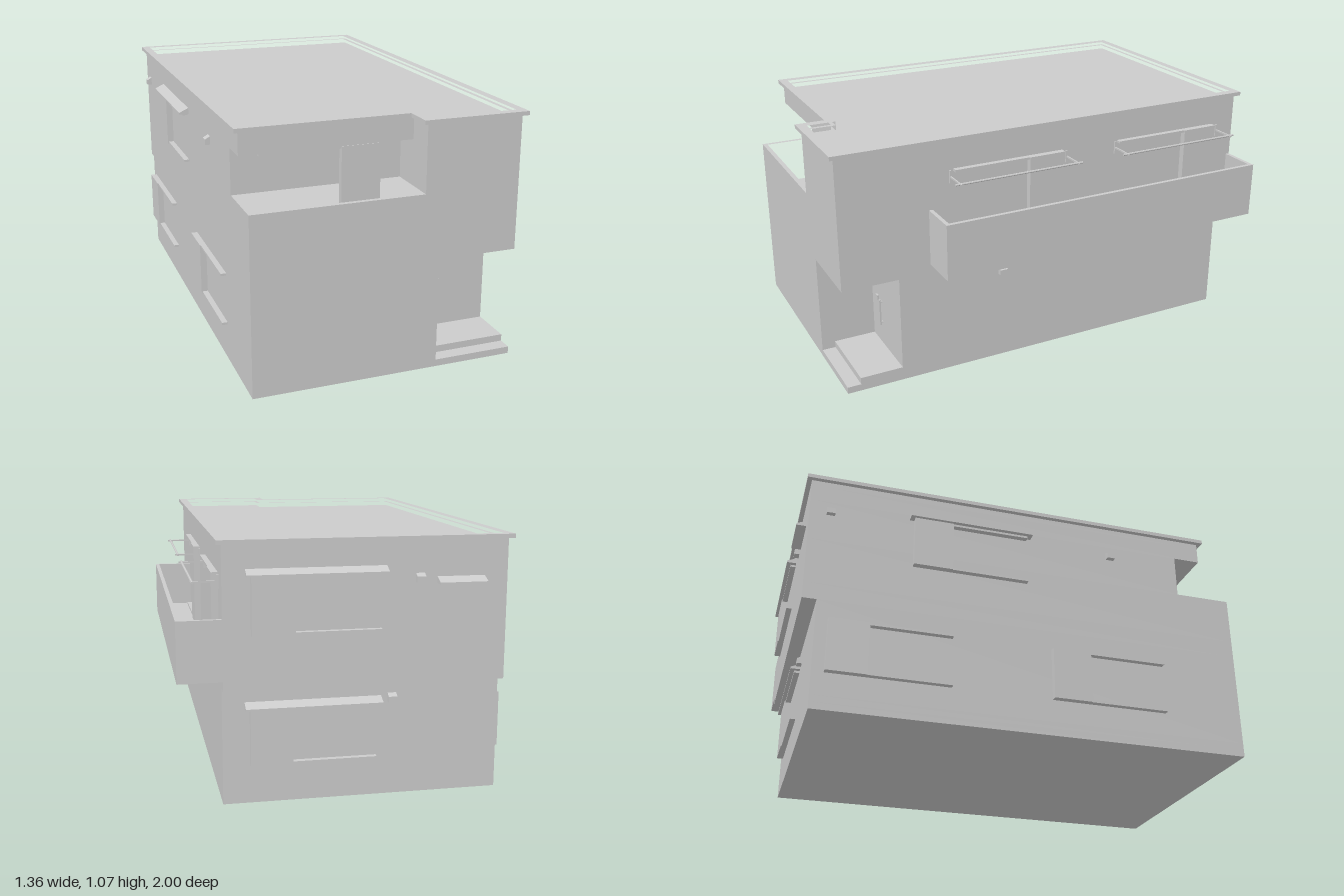
import * as THREE from 'three';

const grey = new THREE.MeshStandardMaterial({ color: 0xcccccc, flatShading: true });

function add(parent, name, geometry, x = 0, y = 0, z = 0) {
  const mesh = new THREE.Mesh(geometry, grey);
  mesh.name = name;
  mesh.position.set(x, y, z);
  parent.add(mesh);
  return mesh;
}

// Box given by its low and high corners
function block(parent, name, [x0, y0, z0], [x1, y1, z1]) {
  return add(parent, name, new THREE.BoxGeometry(x1 - x0, y1 - y0, z1 - z0),
    (x0 + x1) / 2, (y0 + y1) / 2, (z0 + z1) / 2);
}

// Horizontal layer: a floor plan of [x, z] points raised from y0 to y1
function layer(parent, name, plan, y0, y1, hole) {
  const toPoints = (p) => p.map(([x, z]) => new THREE.Vector2(x, -z));
  const shape = new THREE.Shape(toPoints(plan));
  if (hole) shape.holes.push(new THREE.Path(toPoints(hole)));
  const geometry = new THREE.ExtrudeGeometry(shape, { depth: y1 - y0, bevelEnabled: false });
  geometry.rotateX(-Math.PI / 2);
  return add(parent, name, geometry, 0, y0, 0);
}

const rect = (x0, z0, x1, z1) => [[x0, z0], [x1, z0], [x1, z1], [x0, z1]];
// Rectangle with its front right-hand corner (+x, +z) cut away
const cutPlus = (x0, z0, x1, z1, cx, cz) => [[x0, z0], [x1, z0], [x1, cz], [cx, cz], [cx, z1], [x0, z1]];
// Rectangle with its front corner on the -x side cut away
const cutMinus = (x0, z0, x1, z1, cx, cz) => [[x0, z0], [x1, z0], [x1, z1], [cx, z1], [cx, cz], [x0, cz]];

// Sloped hood along a wall (local x along the wall, z outward)
function hood(parent, name, u0, u1, y0, y1, depth, lip) {
  const profile = new THREE.Shape([
    new THREE.Vector2(0, y0), new THREE.Vector2(depth, y0),
    new THREE.Vector2(depth, y0 + lip), new THREE.Vector2(0, y1),
  ]);
  const geometry = new THREE.ExtrudeGeometry(profile, { depth: u1 - u0, bevelEnabled: false });
  geometry.rotateY(-Math.PI / 2);
  return add(parent, name, geometry, u1, 0, 0);
}

const vent = (wall, u, y) => hood(wall, 'vent', u - 0.018, u + 0.018, y - 0.018, y + 0.018, 0.022, 0.024);

// Sliding shutter window: shutter case at one end, thin rails over the rest
function shutterWindow(wall, u0, u1, y0, y1, caseAtHigh, awning) {
  const group = new THREE.Group();
  group.name = 'window';
  wall.add(group);
  const c0 = caseAtHigh ? u1 - 0.17 : u0;
  block(group, 'shutterCase', [c0, y0, 0], [c0 + 0.17, y1, 0.028]);
  const r0 = caseAtHigh ? u0 : c0 + 0.17;
  const r1 = caseAtHigh ? c0 : u1;
  block(group, 'topRail', [r0, y1 - 0.01, 0], [r1, y1, 0.024]);
  block(group, 'bottomRail', [r0, y0, 0], [r1, y0 + 0.01, 0.024]);
  if (awning) hood(group, 'awning', u0 - 0.02, u1 + 0.02, y1, y1 + 0.027, 0.042, 0.008);
}

// Group whose local z points out of a wall
function wallGroup(parent, name, x, z, turn) {
  const group = new THREE.Group();
  group.name = name;
  group.position.set(x, 0, z);
  group.rotation.y = turn;
  parent.add(group);
  return group;
}

export function createModel() {
  const house = new THREE.Group();
  house.name = 'house';
  const L = -0.64, R = 0.5, F = 0.98, B = -0.96, LB = -0.9;

  // Lower storey with a stepped corner porch
  layer(house, 'base', rect(L, LB, R, F), 0, 0.03);
  layer(house, 'porchStep', cutPlus(L, LB, R, F, 0.155, 0.92), 0.03, 0.06);
  layer(house, 'lowerWalls', cutPlus(L, LB, R, F, 0.155, 0.73), 0.06, 0.48);

  // Upper storey with a recessed front terrace
  layer(house, 'upperFloor', rect(L, B, R, F), 0.48, 0.555);
  layer(house, 'terraceParapet', rect(L, B, R, F), 0.555, 0.765, rect(-0.62, 0.73, 0.085, 0.96));
  layer(house, 'upperWalls', cutMinus(L, B, R, F, 0.085, 0.73), 0.765, 0.957);
  layer(house, 'roofBeam', cutMinus(L, B, R, F, 0.085, 0.852), 0.957, 1.03);

  // Flat roof with a raised rim
  const rimInside = cutMinus(-0.623, -0.945, 0.482, 0.96, 0.102, 0.835);
  layer(house, 'roofUpstand', cutMinus(L, B, R, F, 0.085, 0.852), 1.03, 1.053, rimInside);
  layer(house, 'roofRim', cutMinus(-0.66, -0.98, 0.52, 1.0, 0.063, 0.872), 1.053, 1.07, rimInside);

  // Side balcony
  const balcony = new THREE.Group();
  balcony.name = 'balcony';
  house.add(balcony);
  layer(balcony, 'balconyFloor', rect(R, B, 0.677, 0.587), 0.52, 0.555);
  layer(balcony, 'balconyParapet', [[R, B], [0.677, B], [0.677, 0.587], [R, 0.587],
    [R, 0.57], [0.66, 0.57], [0.66, -0.943], [R, -0.943]], 0.555, 0.765);

  // Terrace window
  const terrace = wallGroup(house, 'terraceWall', 0, 0.73, 0);
  shutterWindow(terrace, -0.53, -0.015, 0.565, 0.928, true, false);

  // Porch fittings
  const porch = wallGroup(house, 'porchWall', 0, 0.73, 0);
  block(porch, 'porchLamp', [0.197, 0.37, 0], [0.232, 0.405, 0.022]);
  block(porch, 'doorbell', [0.217, 0.264, 0], [0.237, 0.286, 0.008]);
  block(porch, 'doorHandle', [0.273, 0.16, 0.008], [0.28, 0.284, 0.015]);
  for (const y of [0.17, 0.27]) block(porch, 'handleMount', [0.273, y, 0], [0.28, y + 0.006, 0.009]);

  // Balcony windows with drying poles
  const right = wallGroup(house, 'rightWall', R, 0, Math.PI / 2);
  for (const [u0, u1, b0, b1] of [[-0.475, 0.04, -0.49, 0.06], [0.32, 0.84, 0.31, 0.865]]) {
    shutterWindow(right, u0, u1, 0.565, 0.93, true, false);
    for (const u of [b0, b1]) {
      block(right, 'poleBracketPlate', [u - 0.004, 0.87, 0], [u + 0.004, 0.925, 0.008]);
      block(right, 'poleBracketArm', [u - 0.003, 0.894, 0], [u + 0.003, 0.901, 0.115]);
    }
    const pole = add(right, 'dryingPole', new THREE.CylinderGeometry(0.005, 0.005, b1 - b0 + 0.044, 8),
      (b0 + b1) / 2, 0.898, 0.103);
    pole.rotation.z = Math.PI / 2;
  }
  vent(right, -0.25, 0.423);

  // Left wall windows
  const left = wallGroup(house, 'leftWall', L, 0, -Math.PI / 2);
  shutterWindow(left, -0.85, -0.33, 0.16, 0.392, false, false);
  shutterWindow(left, 0.105, 0.62, 0.16, 0.392, false, false);
  shutterWindow(left, -0.51, 0.0, 0.7, 0.93, false, true);
  vent(left, -0.87, 0.908);
  vent(left, 0.4, 0.908);

  // Back wall windows on both storeys
  const backUpper = wallGroup(house, 'upperBackWall', 0, B, Math.PI);
  shutterWindow(backUpper, -0.39, 0.125, 0.7, 0.93, false, true);
  hood(backUpper, 'smallAwning', 0.35, 0.545, 0.88, 0.907, 0.042, 0.008);
  vent(backUpper, 0.28, 0.905);
  const backLower = wallGroup(house, 'lowerBackWall', 0, LB, Math.PI);
  shutterWindow(backLower, -0.39, 0.125, 0.16, 0.392, false, true);
  vent(backLower, 0.19, 0.41);

  return house;
}
